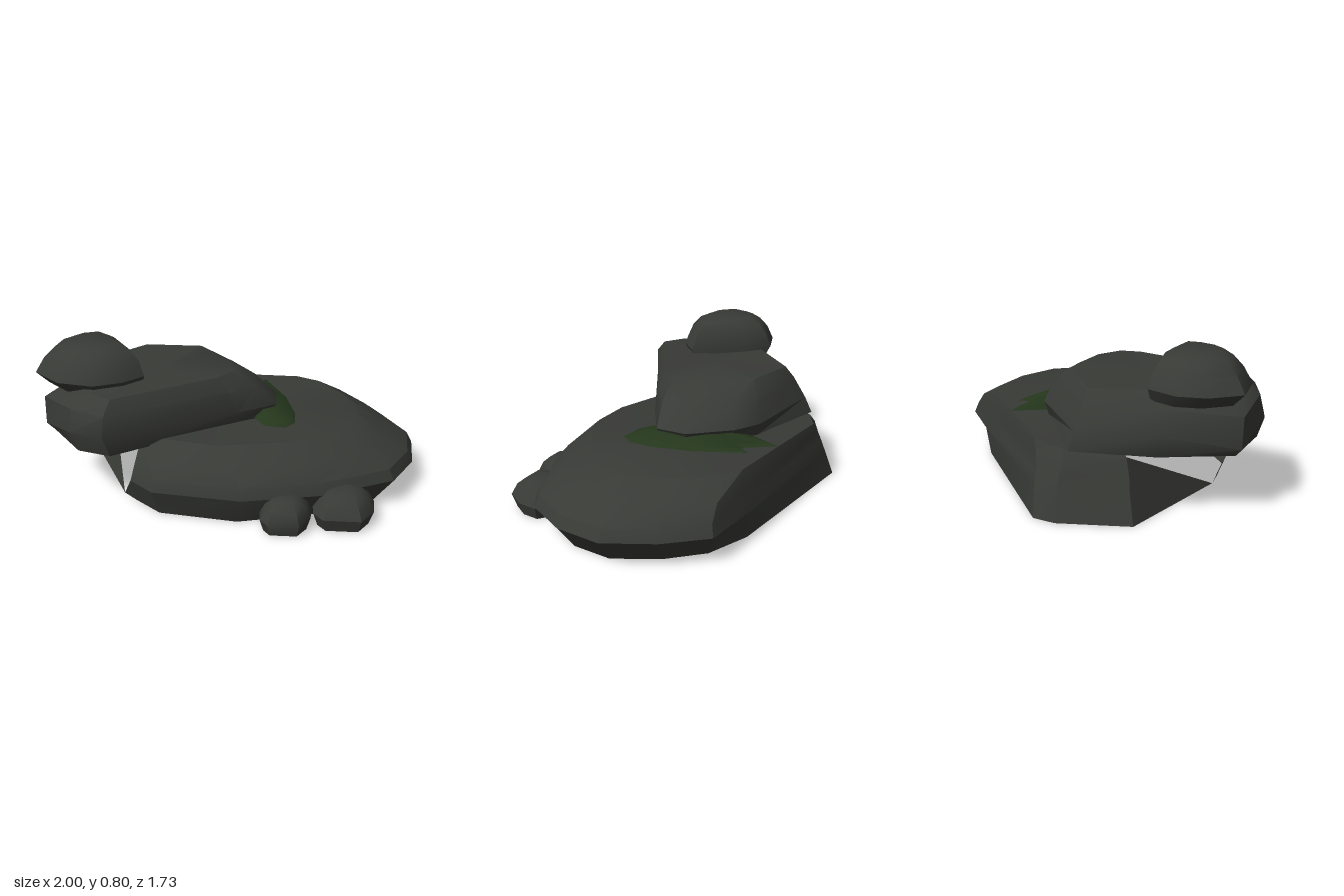
import * as THREE from 'three';
import { toCreasedNormals } from 'three/addons/utils/BufferGeometryUtils.js';

const stone = new THREE.MeshStandardMaterial({ color: 0x383a36, roughness: 1, side: THREE.DoubleSide });
const moss = new THREE.MeshStandardMaterial({ color: 0x24361c, roughness: 1, side: THREE.DoubleSide });

// Joins horizontal outlines [y, [[x, z, ownY?], ...]] from bottom to top.
// gap leaves the last side open; bottom adds a lower cap.
function loft(name, rings, { bottom = true, gap = false, crease = 0.6, material = stone } = {}) {
  const n = rings[0][1].length;
  const pos = [];
  const idx = [];
  for (const [y, pts] of rings) for (const [x, z, own] of pts) pos.push(x, own ?? y, z);
  const sides = gap ? n - 1 : n;
  for (let k = 0; k < rings.length - 1; k++) {
    for (let i = 0; i < sides; i++) {
      const a = k * n + i;
      const b = k * n + (i + 1) % n;
      idx.push(a, a + n, b, b, a + n, b + n);
    }
  }
  const cap = (k, up) => {
    const c = [0, 0, 0];
    for (let i = 0; i < n; i++) for (let j = 0; j < 3; j++) c[j] += pos[(k * n + i) * 3 + j] / n;
    const m = pos.length / 3;
    pos.push(...c);
    for (let i = 0; i < sides; i++) {
      const a = k * n + i;
      const b = k * n + (i + 1) % n;
      idx.push(m, up ? b : a, up ? a : b);
    }
  };
  cap(rings.length - 1, true);
  if (bottom) cap(0, false);
  const g = new THREE.BufferGeometry();
  g.setAttribute('position', new THREE.Float32BufferAttribute(pos, 3));
  g.setIndex(idx);
  const mesh = new THREE.Mesh(toCreasedNormals(g, crease), material);
  mesh.name = name;
  return mesh;
}

// Outline shrunk about (cx, cz) and shifted along x.
const shrink = (outline, s, cx = 0, cz = 0, dx = 0) =>
  outline.map(([x, z]) => [cx + (x - cx) * s + dx, cz + (z - cz) * s]);

// Boulder from one outline at levels [y, scale, shift].
const boulder = (name, outline, cx, cz, levels) =>
  loft(name, levels.map(([y, s, dx]) => [y, shrink(outline, s, cx, cz, dx)]), { crease: 0.75 });

export function createModel() {
  const group = new THREE.Group();
  group.name = 'rockPile';

  // broad hollow slab, open underneath and at its back right corner
  const girth = [[-.585, -.59], [-.31, -.8], [-.165, -.81], [.635, -.4], [.9, -.25], [.98, 0], [1, .28],
    [.88, .5], [.68, .66], [.25, .68], [-.15, .6], [-.55, .36], [-.62, .2]];
  group.add(loft('baseSlab', [
    [0, [[-.64, -.63], [-.33, -.84], [-.21, -.865], [.6, -.4], [.78, -.22], [.86, 0], [.88, .25],
      [.78, .44], [.6, .58], [.22, .6], [-.15, .54], [-.5, .32], [-.58, .15]]],
    [.15, girth],
    [.21, shrink(girth, .97)],
    [.285, [[-.54, -.557], [-.3, -.75], [-.13, -.755], [.61, -.38], [.8, -.26], [.85, -.02], [.82, .24],
      [.72, .44], [.52, .56], [.2, .59], [-.18, .49], [-.53, .25], [-.56, .14]]],
    [.36, [[-.53, -.55, .3], [-.28, -.72, .33], [-.1, -.735, .345], [.57, -.37], [.66, -.26], [.71, -.03], [.68, .2],
      [.57, .35], [.4, .43], [.16, .45], [-.2, .36], [-.48, .14, .35], [-.52, .08, .33]]],
  ], { bottom: false, gap: true, crease: 0.5 }));

  // broken triangular shards in the open corner
  for (const [name, ...corners] of [
    ['brokenWall', [-.64, 0, -.63], [-.62, 0, .05], [-.53, .3, -.55]],
    ['brokenEdge', [-.62, 0, .05], [-.58, 0, .15], [-.62, .15, .2]],
  ]) {
    const g = new THREE.BufferGeometry().setFromPoints(corners.map((c) => new THREE.Vector3(...c)));
    g.computeVertexNormals();
    const shard = new THREE.Mesh(g, stone);
    shard.name = name;
    group.add(shard);
  }

  // middle slab, overhanging on the model's right
  group.add(loft('middleSlab', [
    [.31, [[-.66, -.48], [-.32, -.73, .33], [.1, -.43, .35], [.2, -.3, .36], [.27, -.06, .37], [.2, .09, .36],
      [0, .11, .34], [-.72, .2], [-.86, .08], [-.93, -.22]]],
    [.42, [[-.69, -.48], [-.32, -.69], [.12, -.44], [.22, -.31], [.3, -.06], [.24, .1],
      [0, .14], [-.76, .22], [-.9, .08], [-.97, -.23, .35]]],
    [.54, [[-.68, -.44], [-.32, -.62], [.06, -.42], [.13, -.3], [.18, -.08], [.13, .08],
      [-.05, .13], [-.75, .22], [-.88, .06], [-.97, -.22, .51]]],
    [.62, [[-.62, -.4], [-.31, -.57, .605], [-.03, -.4], [0, -.3], [.04, -.1], [0, .04],
      [-.1, .09], [-.7, .17, .61], [-.78, .05, .61], [-.82, -.2, .6]]],
  ]));

  // top boulder, leaning towards the middle
  group.add(boulder('topBoulder',
    [[-.77, -.49], [-.6, -.48], [-.52, -.33], [-.47, -.02], [-.6, .03], [-.76, .03], [-.92, -.08], [-1, -.27], [-.9, -.42]],
    -.735, -.23, [[.57, .86, .03], [.635, 1, 0], [.715, .87, .015], [.77, .69, .025], [.795, .48, .035]]));

  // pebbles at the foot of the front
  const pebble = [[-.6, -.9], [.5, -.9], [1, .05], [.7, .6], [.1, 1], [-.9, .55], [-1, .1]];
  for (const [name, x, z, rx, rz, h] of [['smallPebble', .07, .65, .145, .145, .165], ['largePebble', .375, .69, .175, .175, .18]]) {
    group.add(boulder(name, pebble.map(([u, v]) => [x + u * rx, z + v * rz]), x, z,
      [[0, .85, 0], [h * .4, 1, 0], [h * .75, .8, 0], [h * .95, .52, 0], [h, .25, 0]]));
  }

  // ragged moss patch between the slabs
  const mossRim = [[.12, -.38], [.27, -.54], [.31, -.35], [.37, -.39], [.38, -.1], [.34, .13], [.29, .24], [.22, .28], [.12, .22], [.1, 0]];
  group.add(loft('mossPatch', [
    [.36, mossRim],
    [.375, mossRim.map(([x, z]) => [.22 + (x - .22) * .86, z * .9])],
    [.405, mossRim.map(([x, z]) => [.2 + (x - .22) * .4, z * .55])],
  ], { bottom: false, crease: 0.9, material: moss }));

  return group;
}
